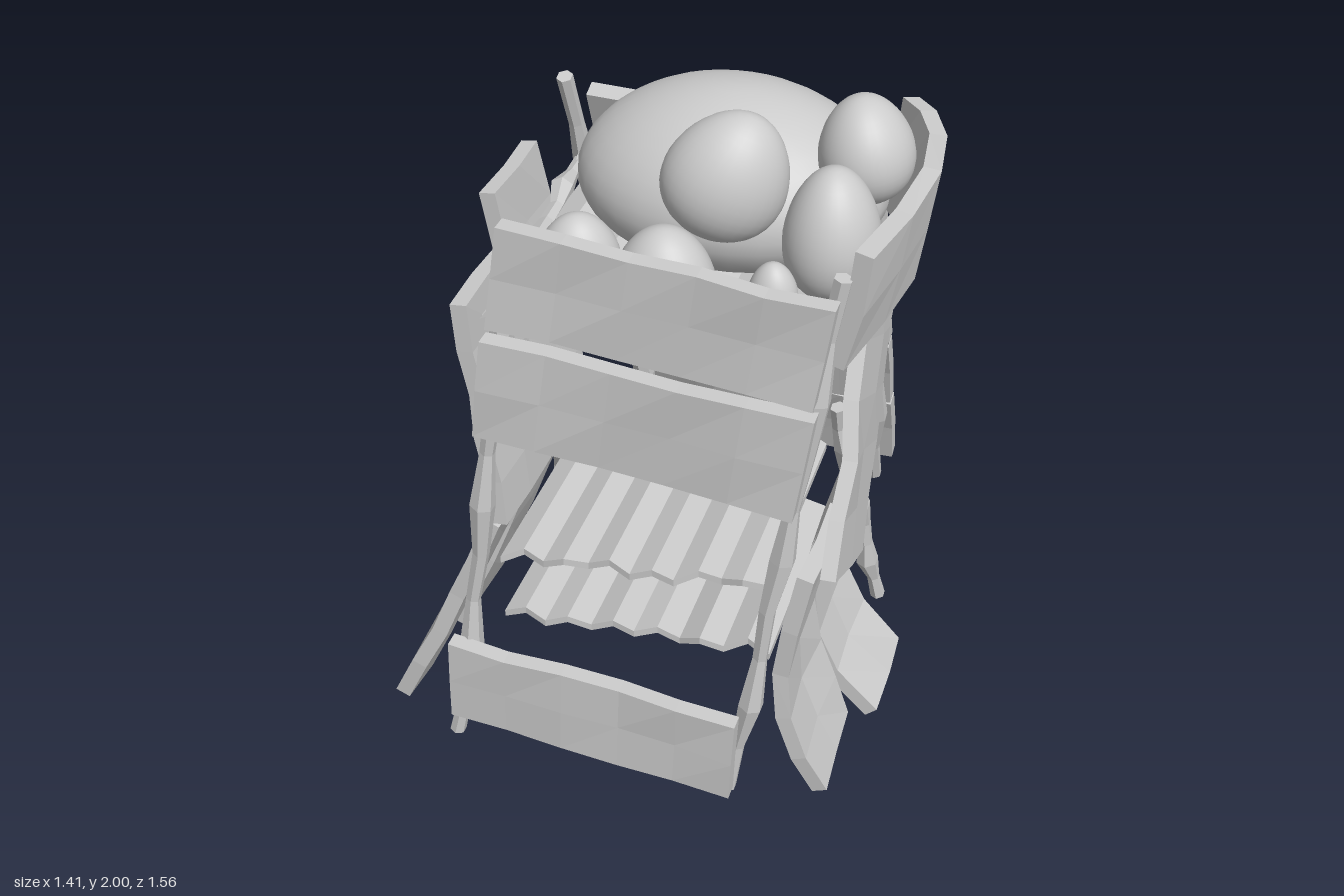
import * as THREE from 'three';
import { mergeVertices } from 'three/addons/utils/BufferGeometryUtils.js';

const V = (x, y, z) => new THREE.Vector3(x, y, z);

// Repeatable noise in -1..1, equal for vertices that share a position
function noise(a, b, c) {
  const s = Math.sin(a * 127.1 + b * 311.7 + c * 74.7) * 43758.5453;
  return 2 * (s - Math.floor(s)) - 1;
}

export function createModel() {
  const group = new THREE.Group();
  const rough = new THREE.MeshStandardMaterial({ color: 0xcccccc, flatShading: true });
  const smooth = new THREE.MeshStandardMaterial({ color: 0xcccccc });
  let seed = 1;

  function add(name, geometry, material = rough) {
    geometry.computeVertexNormals();
    const mesh = new THREE.Mesh(geometry, material);
    mesh.name = name;
    group.add(mesh);
  }

  // Moves each vertex of a geometry by a rule
  function remap(geometry, rule) {
    const p = geometry.attributes.position;
    for (let i = 0; i < p.count; i++) {
      const v = rule(p.getX(i), p.getY(i), p.getZ(i));
      p.setXYZ(i, v.x, v.y, v.z);
    }
    return geometry;
  }

  // Rough board following a path; across is its full width direction
  function plank(name, points, across, thick = 0.045, wobble = 0.009) {
    const curve = points.length > 2 ? new THREE.CatmullRomCurve3(points) : new THREE.LineCurve3(...points);
    const k = seed++;
    add(name, remap(new THREE.BoxGeometry(1, 1, 1, 5, 2, 1), (x, y, z) => {
      const t = x + 0.5;
      const normal = curve.getTangent(t).cross(across).normalize();
      const v = curve.getPoint(t).addScaledVector(across, y * (1 + 0.04 * noise(x, y, k)));
      return v.addScaledVector(normal, z * thick + wobble * noise(x + k, y, 3));
    }));
  }

  // Knotted six-sided stick, slightly crooked
  const knots = [0.9, 0.75, 1.35, 0.8, 0.9, 1.35, 0.8, 0.95, 1.3, 0.85, 0.9];
  function pole(name, a, b, radius = 0.026) {
    const dir = b.clone().sub(a);
    const turn = new THREE.Quaternion().setFromUnitVectors(V(0, 1, 0), dir.clone().normalize());
    const k = seed++;
    add(name, remap(new THREE.CylinderGeometry(1, 1, 1, 6, 10), (x, y, z) => {
      const t = y + 0.5, r = radius * knots[Math.round(t * 10)];
      const n = Math.round(t * 10);
      return V(x * r + 0.008 * noise(n, k, 1), 0, z * r + 0.008 * noise(n, k, 2))
        .applyQuaternion(turn).addScaledVector(dir, t).add(a);
    }));
  }

  // Corrugated floor running from x0 to x1, height changing from y0 to y1
  function deck(name, [x0, x1], [y0, y1], [z0, z1], ridge) {
    const n = 12, k = seed++;
    add(name, remap(new THREE.BoxGeometry(1, 1, 1, n, 1, 3), (x, y, z) => {
      const t = x + 0.5, i = Math.round(t * n);
      const zig = ridge * (i % 2 ? 1 : -1) * (0.8 + 0.4 * noise(i, k, 1));
      return V(x0 + (x1 - x0) * t, y0 + (y1 - y0) * t + zig + y * 0.022,
        (z0 + z1) / 2 + (z1 - z0) * z + Math.sign(z) * 0.02 * noise(i, k, 5) * Math.abs(z) * 2);
    }));
  }

  // Smooth egg-shaped boulder, narrower at the top, leaning by rotation
  function boulder(name, centre, size, lean = [0, 0, 0], taper = 0.15) {
    let g = new THREE.SphereGeometry(1, 32, 20);
    g.deleteAttribute('uv');
    g.deleteAttribute('normal');
    g = mergeVertices(g);
    remap(g, (x, y, z) => V(x * (1 - taper * y) * size[0], y * size[1], z * (1 - taper * y) * size[2])
      .applyEuler(new THREE.Euler(...lean)).add(centre));
    add(name, g, smooth);
  }

  // Front boards
  plank('frontLowerBoard', [V(-0.465, 0.26, 0.735), V(0.36, 0.195, 0.735)], V(0.015, 0.29, 0));
  plank('frontMiddleBoard', [V(-0.305, 1.315, 0.745), V(0.525, 1.25, 0.745)], V(0.04, 0.295, 0));
  plank('frontTopBoard', [V(-0.25, 1.64, 0.735), V(0.56, 1.57, 0.735)], V(0.04, 0.28, 0));

  // Sloping back boards
  for (let i = 0; i < 5; i++) {
    const y = 1.525 - i * 0.303, z = -0.235 - i * 0.117;
    plank('backBoard', [V(-0.35, y, z), V(0.48, y + 0.01, z)], V(0, 0.295, 0.105), 0.05);
  }

  // Main uprights
  pole('frontRightPost', V(-0.475, 0.01, 0.695), V(-0.22, 1.74, 0.68));
  pole('frontLeftPost', V(0.34, 0.03, 0.695), V(0.58, 1.76, 0.68));
  pole('backRightPost', V(-0.33, 0.13, -0.68), V(-0.38, 1.74, -0.09));
  pole('backLeftPost', V(0.44, 0.13, -0.68), V(0.47, 1.78, -0.08));

  // Short splayed legs
  pole('rightLeg', V(-0.55, 0.03, -0.2), V(-0.35, 0.86, 0));
  pole('leftLeg', V(0.55, 0.03, -0.2), V(0.43, 0.86, -0.04));

  // Rails under the upper floor
  pole('rightRail', V(-0.36, 1.47, -0.13), V(-0.29, 1.46, 0.7));
  pole('leftRail', V(0.46, 1.46, -0.15), V(0.52, 1.48, 0.7));
  pole('backRail', V(-0.36, 1.48, -0.12), V(0.49, 1.46, -0.12));

  // Floors
  deck('upperFloor', [-0.32, 0.5], [1.47, 1.45], [-0.11, 0.67], 0.012);
  deck('middleFloor', [-0.37, 0.39], [0.585, 0.67], [-0.12, 0.56], 0.016);
  deck('lowerFloor', [-0.38, 0.4], [0.36, 0.42], [-0.12, 0.54], 0.016);

  // Left side: bowed top guard, slanted brace and curled lower boards
  plank('leftGuard', [V(0.6, 1.675, 0.69), V(0.665, 1.675, 0.33), V(0.62, 1.67, 0.02), V(0.54, 1.67, -0.11)],
    V(0.045, 0.31, 0), 0.045);
  plank('leftBrace', [V(0.56, 1.43, 0.13), V(0.59, 0.785, 0.53)], V(0.01, 0.185, 0.35), 0.04);
  for (const [z, foot] of [[0.515, 0.58], [0.175, 0.66]]) {
    plank('leftLowerBoard', [V(0.53, 0.83, z), V(0.475, 0.6, z), V(0.46, 0.4, z), V(0.51, 0.22, z), V(foot, 0.06, z - 0.01)],
      V(0, 0, 0.32), 0.045);
  }

  // Right side: two upper and two lower leaning boards
  for (const [z, top, foot] of [[0.185, -0.43, -0.64], [0.515, -0.385, -0.67]]) {
    plank('rightUpperBoard', [V(top, 1.61 - (z > 0.3 ? 0.13 : 0), z), V(-0.315, 0.8, z)], V(0, 0, 0.3), 0.045);
    plank('rightLowerBoard', [V(-0.34, 0.79, z), V(foot, 0.05, z)], V(0, 0, 0.3), 0.045);
  }

  // Heap of boulders
  boulder('largeBoulder', V(0.17, 1.7, 0.17), [0.4, 0.23, 0.31], [0, 0, 0], 0.12);
  boulder('tallBoulder', V(0.245, 1.85, 0.47), [0.15, 0.165, 0.125], [0, 0.3, -0.4]);
  boulder('sideBoulder', V(0.53, 1.87, 0.28), [0.115, 0.135, 0.125], [0, 0, 0.15]);
  boulder('cornerBoulder', V(0.5, 1.74, 0.47), [0.115, 0.17, 0.125]);
  boulder('rightBoulder', V(-0.11, 1.6, 0.54), [0.105, 0.12, 0.09], [0, 0.4, 0]);
  boulder('frontBoulder', V(0.12, 1.6, 0.57), [0.125, 0.14, 0.115]);
  boulder('smallBoulder', V(0.39, 1.62, 0.58), [0.06, 0.08, 0.055]);

  return group;
}
